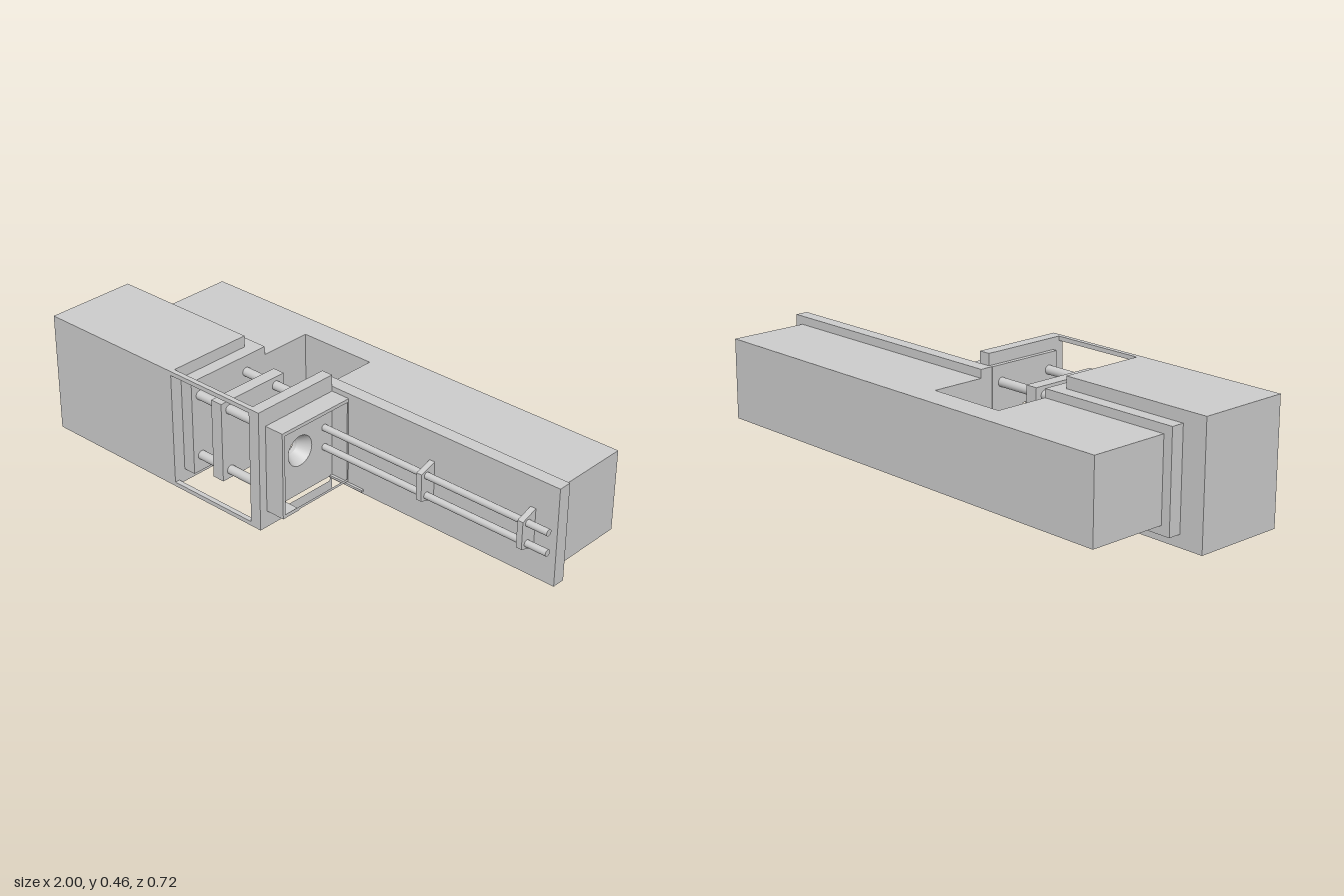
import * as THREE from 'three';

const material = new THREE.MeshStandardMaterial({ color: 0xcccccc });
const thin = new THREE.MeshStandardMaterial({ color: 0xcccccc, side: THREE.DoubleSide });
const HOLE_Z = 0.16, HOLE_Y = 0.23;

export function createModel() {
  const model = new THREE.Group();

  const add = (name, geometry, mat = material) => {
    const mesh = new THREE.Mesh(geometry, mat);
    mesh.name = name;
    model.add(mesh);
    return mesh;
  };

  // Box given by its limits on each axis
  const box = (name, [x0, x1], [y0, y1], [z0, z1]) =>
    add(name, new THREE.BoxGeometry(x1 - x0, y1 - y0, z1 - z0)
      .translate((x0 + x1) / 2, (y0 + y1) / 2, (z0 + z1) / 2));

  // Round bar along x
  const rod = (name, radius, x0, x1, y, z) =>
    add(name, new THREE.CylinderGeometry(radius, radius, x1 - x0, 24)
      .rotateZ(Math.PI / 2).translate((x0 + x1) / 2, y, z));

  // Outline of [z, y] points, extruded along x
  const outline = (points, Type = THREE.Shape) =>
    new Type(points.map(([z, y]) => new THREE.Vector2(-z, y)));
  const rect = (z0, z1, y0, y1) => [[z0, y0], [z1, y0], [z1, y1], [z0, y1]];
  const alongX = (name, shape, x0, x1) =>
    add(name, new THREE.ExtrudeGeometry(shape, { depth: x1 - x0, bevelEnabled: false, curveSegments: 32 })
      .rotateY(Math.PI / 2).translate(x0, 0, 0));
  const roundHole = (radius) => new THREE.Path().absarc(-HOLE_Z, HOLE_Y, radius, 0, Math.PI * 2);

  // Rear bed, notched behind the press opening
  const bed = new THREE.Shape([
    [-0.87, -0.36], [0.965, -0.36], [0.965, -0.05], [-0.03, -0.05],
    [-0.03, -0.26], [-0.34, -0.26], [-0.34, -0.05], [-0.87, -0.05],
  ].map(([x, z]) => new THREE.Vector2(x, z)));
  add('rearBed', new THREE.ExtrudeGeometry(bed, { depth: 0.305, bevelEnabled: false })
    .rotateX(Math.PI / 2).translate(0, 0.384, 0));

  // Mounting plate on either side of the notch
  box('mountingPlateRight', [-0.905, -0.34], [0.046, 0.416], [-0.05, 0]);
  box('mountingPlateLeft', [-0.03, 1], [0.046, 0.416], [-0.05, 0]);

  // Drive housing and the slim front rails of the press frame
  box('driveHousing', [-1, -0.39], [0, 0.46], [0, 0.357]);
  box('upperFrameRail', [-0.39, -0.015], [0.444, 0.46], [0.338, 0.357]);
  box('lowerFrameRail', [-0.39, -0.015], [0, 0.016], [0.338, 0.357]);

  // Platens and tie bars
  box('rearPlaten', [-0.39, -0.34], [0.05, 0.416], [0, 0.31]);
  box('movingPlaten', [-0.243, -0.195], [0.08, 0.386], [0.005, 0.31]);
  const fixedPlaten = outline(rect(0, 0.31, 0.05, 0.416));
  fixedPlaten.holes.push(roundHole(0.029));
  alongX('fixedPlaten', fixedPlaten, -0.032, -0.015);
  for (const y of [0.112, 0.353])
    for (const z of [0.045, 0.272]) rod('tieBar', 0.017, -0.34, -0.03, y, z);

  // End plate with a tapered opening and a slot below it
  const endPlate = outline(rect(0, 0.357, 0, 0.46));
  endPlate.holes.push(roundHole(0.058), outline(rect(0.011, 0.233, 0.042, 0.06), THREE.Path));
  alongX('endPlate', endPlate, -0.015, 0.03);
  add('taperedOpening', new THREE.CylinderGeometry(0.029, 0.058, 0.045, 48, 1, true)
    .rotateZ(Math.PI / 2).translate(0.0075, HOLE_Y, HOLE_Z), thin);

  // Open hood around the opening
  const hood = outline(rect(0, 0.325, 0.068, 0.397));
  hood.holes.push(outline(rect(0.007, 0.313, 0.078, 0.384), THREE.Path));
  alongX('hood', hood, 0.03, 0.107);
  box('hoodLip', [0.03, 0.107], [0.064, 0.068], [0.245, 0.325]);
  box('slotStrip', [0.03, 0.178], [0.055, 0.064], [0, 0.01]);

  // Twin guide rods held by two brackets
  for (const y of [0.193, 0.27]) rod('guideRod', 0.0125, 0.03, 0.995, y, 0.039);
  const bracket = outline([[0, 0.157], [0.065, 0.18], [0.065, 0.283], [0, 0.305]]);
  for (const x of [0.48, 0.9]) alongX('rodBracket', bracket, x - 0.011, x + 0.011);

  return model;
}
